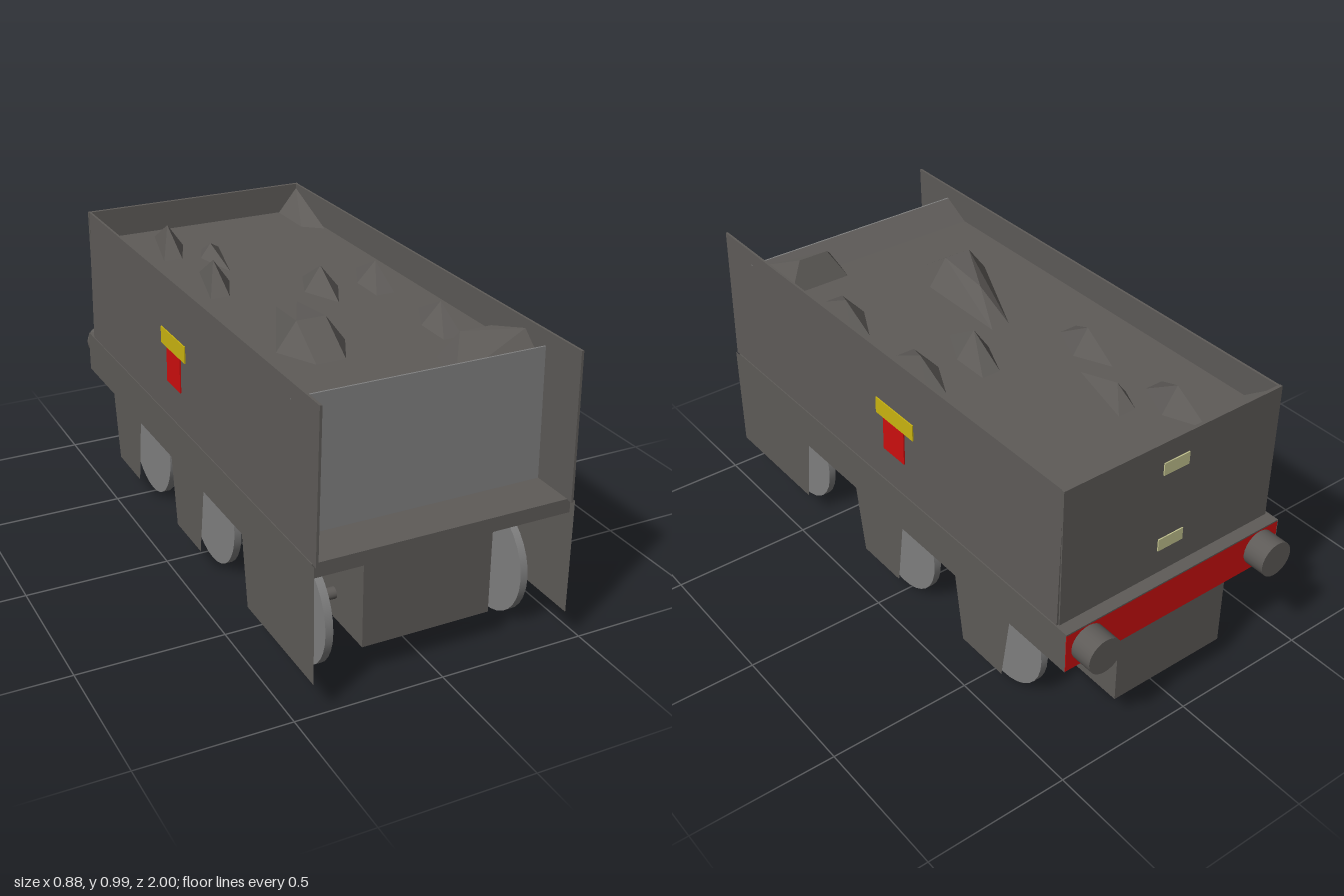
import * as THREE from 'three';
import { ConvexGeometry } from 'three/addons/geometries/ConvexGeometry.js';

const mat = (name, color, side = THREE.FrontSide) => {
  const m = new THREE.MeshStandardMaterial({ color, side });
  m.name = name;
  return m;
};

export function createModel() {
  const body = mat('body grey', 0x5e5b58, THREE.DoubleSide);
  const steel = mat('light grey', 0x808080);
  const red = mat('red', 0xcc0e0e);
  const yellow = mat('yellow', 0xcab410);
  const pale = mat('pale lamp', 0xc4c490);

  const model = new THREE.Group();
  model.name = 'coalTender';
  const add = (name, geometry, material) => {
    const mesh = new THREE.Mesh(geometry, material);
    mesh.name = name;
    model.add(mesh);
    return mesh;
  };
  // box given by its limits on each axis
  const box = (name, [x0, x1], [y0, y1], [z0, z1], material) => {
    const mesh = add(name, new THREE.BoxGeometry(x1 - x0, y1 - y0, z1 - z0), material);
    mesh.position.set((x0 + x1) / 2, (y0 + y1) / 2, (z0 + z1) / 2);
    return mesh;
  };
  const shape = pts => new THREE.Shape(pts.map(p => new THREE.Vector2(...p)));
  const extrude = (pts, depth) => new THREE.ExtrudeGeometry(shape(pts), { depth, bevelEnabled: false });

  // chassis core and deck
  box('chassisCore', [-0.22, 0.225], [0.108, 0.47], [-0.917, 0.89], body);
  box('deck', [-0.436, 0.437], [0.455, 0.503], [-0.885, 0.98], body);

  // buffer beam with its grey top plate
  box('bufferBeam', [-0.436, 0.437], [0.357, 0.498], [-0.92, -0.885], red);
  box('beamTop', [-0.436, 0.437], [0.498, 0.503], [-0.92, -0.865], body);
  for (const x of [-0.357, 0.353]) {
    const buffer = add('buffer', new THREE.CylinderGeometry(0.063, 0.063, 0.08, 24), body);
    buffer.rotation.x = Math.PI / 2;
    buffer.position.set(x, 0.432, -0.96);
  }

  // notched side skirts, drawn as (z, y)
  const skirt = [
    [1, 0.503], [1, 0.11], [0.54, 0.11], [0.505, 0.355], [0.2, 0.355], [0.16, 0.11],
    [-0.045, 0.11], [-0.08, 0.355], [-0.375, 0.355], [-0.413, 0.11], [-0.617, 0.11],
    [-0.655, 0.355], [-0.92, 0.355], [-0.92, 0.503],
  ];
  for (const x of [-0.438, 0.439]) {
    const g = new THREE.ShapeGeometry(shape(skirt)).rotateY(-Math.PI / 2);
    add('sideSkirt', g, body).position.x = x;
  }

  // leaning side walls and back wall
  for (const s of [-1, 1]) {
    const section = [[0.433, 0.5], [0.424, 0.995], [0.416, 0.995], [0.425, 0.5]].map(([x, y]) => [s * x, y]);
    add('sideWall', extrude(section, 1.87), body).position.z = -0.87;
  }
  box('backWall', [-0.426, 0.426], [0.5, 0.995], [-0.875, -0.863], body);

  // coal bed, rising to the front panel
  const bed = [[-0.865, 0.5], [0.82, 0.5], [0.82, 0.945], [0.72, 0.89], [-0.865, 0.89]];
  add('coalBed', extrude(bed, 0.84).rotateY(-Math.PI / 2), body).position.x = 0.42;
  box('frontPanel', [-0.425, 0.425], [0.503, 0.945], [0.82, 0.826], steel);

  // coal lumps: base outline (x, z) and peaks (x, y, z)
  const lumps = [
    [[[-0.2, -0.8], [-0.14, -0.66], [-0.2, -0.52], [-0.27, -0.52]], [[-0.2, 0.975, -0.66]]],
    [[[-0.2, -0.37], [-0.14, -0.24], [-0.2, -0.1], [-0.27, -0.1]], [[-0.2, 0.975, -0.24]]],
    [[[-0.1, -0.59], [-0.03, -0.59], [-0.1, -0.32], [-0.14, -0.5]], [[-0.1, 0.94, -0.5]]],
    [[[0.04, -0.03], [0.1, -0.17], [0.17, -0.17], [0.17, -0.03], [0.1, 0.11]], [[0.1, 0.975, -0.03]]],
    [[[0.31, -0.17], [0.38, -0.17], [0.31, 0.11], [0.24, 0.11], [0.24, -0.03]], [[0.31, 0.96, -0.03]]],
    [[[0.31, 0.26], [0.38, 0.26], [0.31, 0.54], [0.24, 0.54], [0.24, 0.4]], [[0.31, 0.96, 0.4]]],
    [[[-0.1, 0.04], [-0.03, 0.04], [-0.03, 0.4], [-0.1, 0.54], [-0.2, 0.54], [-0.27, 0.4]],
      [[-0.2, 0.982, 0.4], [-0.1, 0.982, 0.4], [-0.1, 0.96, 0.2]]],
    [[[0.11, 0.82], [0.15, 0.64], [0.38, 0.64], [0.41, 0.82]],
      [[0.2, 0.982, 0.69], [0.31, 0.982, 0.69], [0.4, 0.975, 0.74]]],
    [[[-0.41, -0.86], [-0.34, -0.86], [-0.41, -0.73]], [[-0.41, 0.982, -0.86]]],
    [[[0.34, -0.86], [0.34, -0.66], [0.41, -0.6], [0.41, -0.86]], [[0.41, 0.982, -0.85]]],
  ];
  for (const [base, peaks] of lumps) {
    const pts = base.map(([x, z]) => new THREE.Vector3(x, 0.888, z));
    for (const p of peaks) pts.push(new THREE.Vector3(...p));
    add('coalLump', new ConvexGeometry(pts), body);
  }

  // wheels and axles
  for (const z of [0.705, 0.045, -0.527]) {
    for (const x of [-0.335, 0.348]) {
      const wheel = add('wheel', new THREE.CylinderGeometry(0.193, 0.193, 0.026, 32), steel);
      wheel.rotation.z = Math.PI / 2;
      wheel.position.set(x, 0.195, z);
    }
    const axle = add('axle', new THREE.CylinderGeometry(0.02, 0.02, 0.555, 16), body);
    axle.rotation.z = Math.PI / 2;
    axle.position.set(0.008, 0.197, z);
  }

  // painted side emblems, tilted with the walls
  for (const s of [-1, 1]) {
    const bar = box('emblemBar', [-0.003, 0.003], [0.75, 0.808], [-0.15, 0.055], yellow);
    bar.position.x = s * 0.429;
    const stem = box('emblemStem', [-0.003, 0.003], [0.63, 0.75], [-0.1, 0.015], red);
    stem.position.x = s * 0.431;
    bar.rotation.z = stem.rotation.z = s * 0.018;
  }

  // lamp plates on the back wall
  for (const y of [0.9, 0.615]) box('lampPlate', [-0.05, 0.05], [y - 0.022, y + 0.022], [-0.879, -0.873], pale);

  return model;
}
